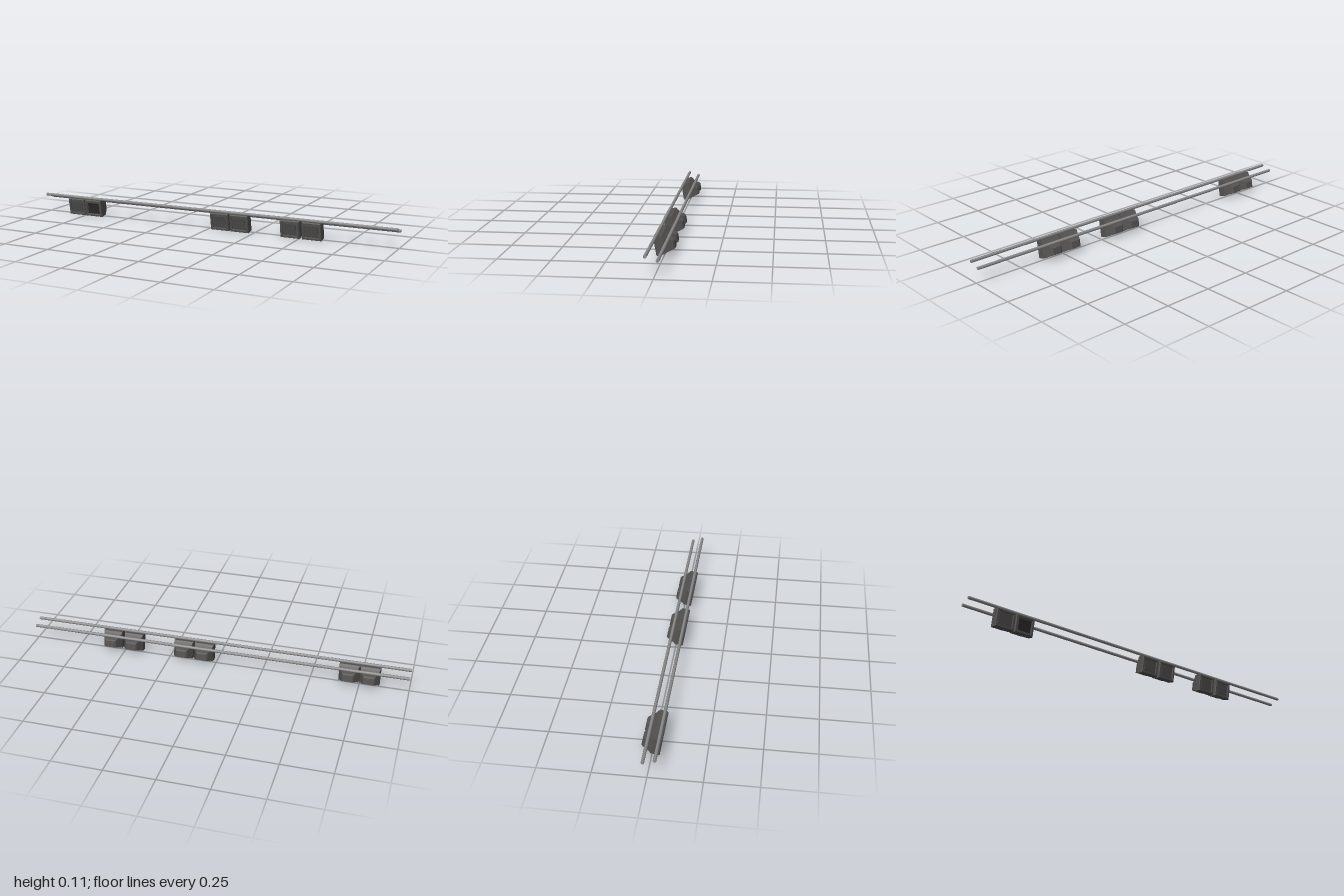
import * as THREE from 'three';

const shellMat = new THREE.MeshStandardMaterial({ name: 'charcoalShell', color: 0x555352 });
const barMat = new THREE.MeshStandardMaterial({ name: 'greyBar', color: 0x8c8c8c });
const glassMat = new THREE.MeshStandardMaterial({ name: 'greyGlass', color: 0x4c4c4c });
const darkMat = new THREE.MeshStandardMaterial({ name: 'darkGlass', color: 0x2a2a2a });

// Faceted loft through rectangular sections [depth, top, bottom, halfWidth]
function loft(sections) {
  const rings = sections.map(([d, t, b, w]) => [[w, b, -d], [w, t, -d], [-w, t, -d], [-w, b, -d]]);
  const pos = [];
  const quad = (a, b, c, d) => pos.push(...a, ...b, ...c, ...a, ...c, ...d);
  for (let s = 0; s < rings.length - 1; s++) {
    const p = rings[s], q = rings[s + 1];
    for (let i = 0; i < 4; i++) {
      const j = (i + 1) % 4;
      quad(p[i], q[i], q[j], p[j]);
    }
  }
  const first = rings[0], last = rings[rings.length - 1];
  quad(first[0], first[1], first[2], first[3]);
  quad(last[3], last[2], last[1], last[0]);
  const geo = new THREE.BufferGeometry();
  geo.setAttribute('position', new THREE.Float32BufferAttribute(pos, 3));
  geo.computeVertexNormals();
  return geo;
}

export function createModel() {
  const model = new THREE.Group();
  model.name = 'lightingRig';

  // Two parallel octagonal bars
  const barGeo = new THREE.CylinderGeometry(0.008, 0.008, 2, 8);
  barGeo.rotateZ(Math.PI / 2);
  for (const [name, y, z] of [['frontBar', 0.1, 0.035], ['backBar', 0.083, -0.019]]) {
    const bar = new THREE.Mesh(barGeo, barMat);
    bar.name = name;
    bar.position.set(0, y, z);
    model.add(bar);
  }

  // Housing: shallow front recess, raised rim, boxy body, tapered back
  const housingGeo = loft([
    [0.007, 0.033, -0.033, 0.037],
    [0, 0.035, -0.035, 0.039],
    [0, 0.043, -0.043, 0.048],
    [0.005, 0.0465, -0.046, 0.051],
    [0.042, 0.0465, -0.043, 0.051],
    [0.05, 0.036, -0.038, 0.047],
    [0.065, 0.02, -0.034, 0.04],
    [0.084, 0.012, -0.03, 0.031],
    [0.0905, 0.0064, -0.0276, 0.023],
  ]);
  const glassGeo = new THREE.BoxGeometry(0.066, 0.058, 0.004);

  // Three pairs of floodlights, tipped slightly downwards
  [-0.799, -0.694, 0.067, 0.177, 0.453, 0.568].forEach((x, i) => {
    const lamp = new THREE.Group();
    lamp.name = 'floodlight' + (i + 1);
    const housing = new THREE.Mesh(housingGeo, shellMat);
    housing.name = 'housing';
    const glass = new THREE.Mesh(glassGeo, i === 1 ? darkMat : glassMat);
    glass.name = 'glass';
    glass.position.z = -0.006;
    lamp.add(housing, glass);
    lamp.position.set(x, 0.046, 0.043);
    lamp.rotation.x = 0.175;
    model.add(lamp);
  });

  return model;
}
